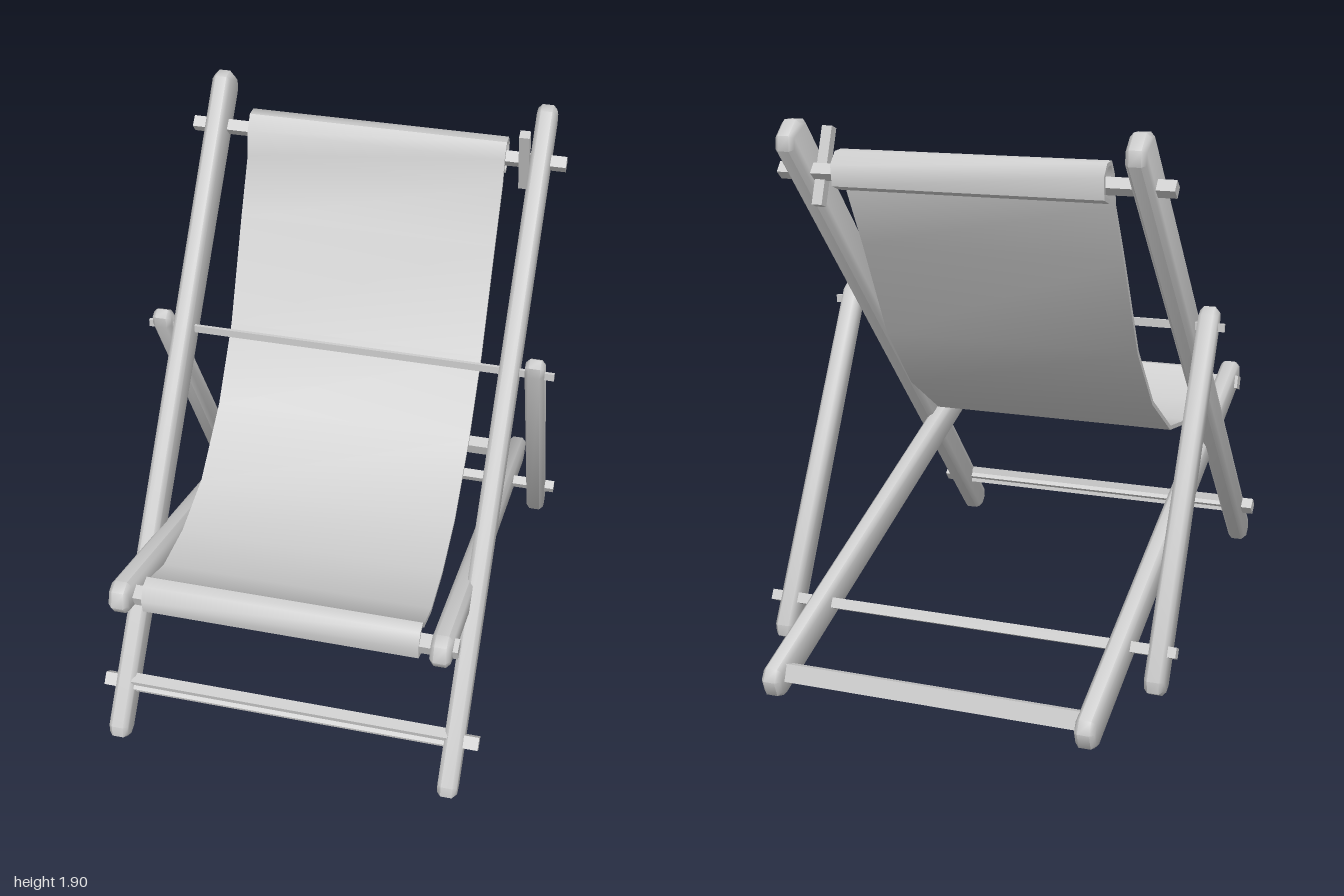
import * as THREE from 'three';
import { toCreasedNormals } from 'three/addons/utils/BufferGeometryUtils.js';

const grey = new THREE.MeshStandardMaterial({ color: 0xcccccc });
grey.name = 'plain grey';

// Extrude a (z, y) outline along x, centred on x = 0
function extrudeAlongX(points, width, bevel) {
  const geo = new THREE.ExtrudeGeometry(new THREE.Shape(points), {
    depth: width - 2 * bevel, bevelEnabled: bevel > 0, bevelThickness: bevel,
    bevelSize: bevel, bevelOffset: -bevel, bevelSegments: 1,
  });
  geo.translate(0, 0, -(width - 2 * bevel) / 2);
  geo.rotateY(-Math.PI / 2);
  return toCreasedNormals(geo, 0.9);
}

// Tapered rail from a to b (z, y), with chamfered ends; x runs from xa to xb
function rail(name, a, b, wa, wb, xa, xb) {
  const A = new THREE.Vector2(...a), B = new THREE.Vector2(...b);
  const d = B.clone().sub(A), len = d.length();
  d.normalize();
  const n = new THREE.Vector2(-d.y, d.x);
  const at = (s, t) => A.clone().addScaledVector(d, s).addScaledVector(n, t);
  const c = 0.035;
  const outline = [
    at(0, -wa * 0.25), at(c, -wa / 2), at(len - c, -wb / 2), at(len, -wb * 0.25),
    at(len, wb * 0.25), at(len - c, wb / 2), at(c, wa / 2), at(0, wa * 0.25),
  ];
  const geo = extrudeAlongX(outline, 0.068, 0.014);
  const p = geo.attributes.position;
  for (let i = 0; i < p.count; i++) {
    const t = (p.getZ(i) - a[0]) / (b[0] - a[0]);
    p.setX(i, p.getX(i) + xa + (xb - xa) * t);
  }
  const mesh = new THREE.Mesh(geo, grey);
  mesh.name = name;
  return mesh;
}

// Crossbar between x0 and x1 at (y, z), with a rectangular section
function bar(name, x0, x1, y, z, h, d, tilt = 0) {
  const mesh = new THREE.Mesh(new THREE.BoxGeometry(x1 - x0, h, d), grey);
  mesh.position.set((x0 + x1) / 2, y, z);
  mesh.rotation.x = tilt;
  mesh.name = name;
  return mesh;
}

// Sling fabric: a thin strip that follows a path of (z, y) points
function fabric(path, thickness, x0, x1) {
  const pts = path.map(([z, y]) => new THREE.Vector2(z, y));
  const upper = [], lower = [];
  pts.forEach((p, i) => {
    const prev = pts[Math.max(i - 1, 0)], next = pts[Math.min(i + 1, pts.length - 1)];
    const t = next.clone().sub(prev).normalize();
    const n = new THREE.Vector2(-t.y, t.x).multiplyScalar(thickness / 2);
    upper.push(p.clone().add(n));
    lower.unshift(p.clone().sub(n));
  });
  const mesh = new THREE.Mesh(extrudeAlongX([...upper, ...lower], x1 - x0, 0), grey);
  mesh.position.x = (x0 + x1) / 2;
  mesh.name = 'slingFabric';
  return mesh;
}

export function createModel() {
  const chair = new THREE.Group();
  chair.name = 'deckChair';

  // Back frame, seat frame and prop frame rails
  for (const [side, back, seatFront, seatRear, prop] of [
    ['left', 0.583, 0.536, 0.542, 0.672],
    ['right', -0.604, -0.546, -0.558, -0.685],
  ]) {
    chair.add(
      rail(side + 'BackRail', [0.98, 0.065], [-0.66, 1.87], 0.105, 0.145, back, back),
      rail(side + 'SeatRail', [0.995, 0.767], [-0.99, 0.04], 0.112, 0.115, seatFront, seatRear),
      rail(side + 'PropRail', [0.005, 1.23], [-0.63, 0.06], 0.075, 0.1, prop, prop),
    );
  }

  // Crossbars
  chair.add(
    bar('topBar', -0.7, 0.673, 1.715, -0.543, 0.042, 0.042, 0.7),
    bar('backFrameFootBar', -0.68, 0.668, 0.225, 0.86, 0.045, 0.045, 0.85),
    bar('backFrameFootBoard', -0.58, 0.56, 0.227, 0.86, 0.06, 0.04, 0.2),
    bar('seatFrontBar', -0.593, 0.587, 0.728, 0.915, 0.05, 0.05, 0.35),
    bar('seatRearBar', -0.55, 0.535, 0.075, -0.92, 0.06, 0.05, 0.35),
    bar('propFootBar', -0.745, 0.742, 0.193, -0.58, 0.036, 0.036, 0.5),
    bar('pivotRod', -0.742, 0.74, 1.168, -0.02, 0.028, 0.012),
  );

  // Small peg beside the top bar
  chair.add(bar('peg', 0.508, 0.545, 1.73, -0.513, 0.27, 0.035, 0.35));

  // Sling wrapped over the top bar, sagging to the seat, wrapped over the front bar
  chair.add(fabric([
    [-0.535, 1.665], [-0.585, 1.68], [-0.592, 1.745], [-0.56, 1.782], [-0.52, 1.785],
    [-0.488, 1.74], [-0.475, 1.645], [-0.365, 1.45], [-0.18, 1.095], [0.02, 0.865],
    [0.275, 0.702], [0.51, 0.662], [0.72, 0.685], [0.85, 0.745], [0.885, 0.78],
    [0.92, 0.775], [0.945, 0.735], [0.938, 0.69], [0.9, 0.67], [0.87, 0.685],
  ], 0.016, -0.48, 0.46));

  return chair;
}
